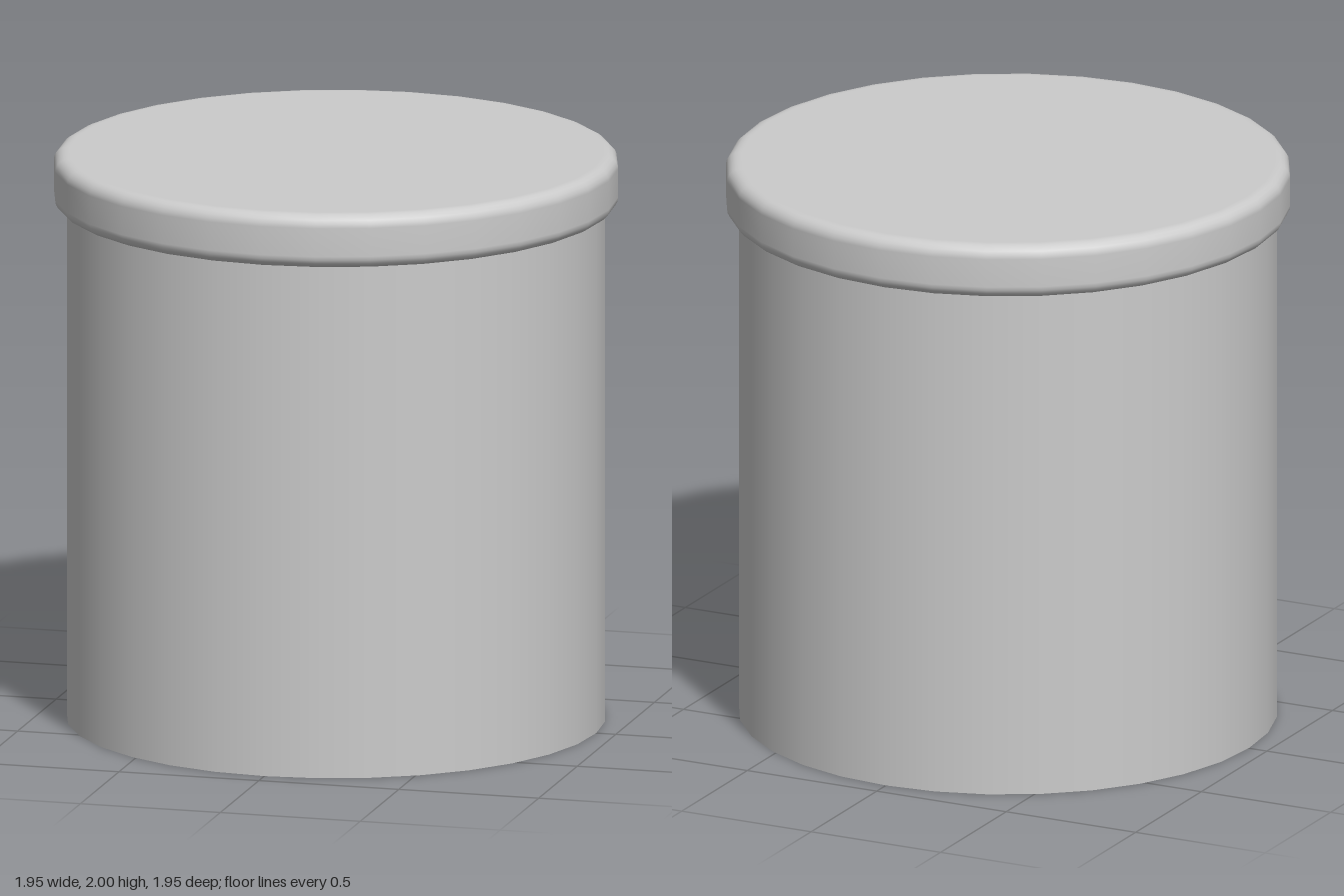
import * as THREE from 'three';

const SIDES = 32;
const BODY_RADIUS = 0.93, LID_RADIUS = 0.975;
const LID_BOTTOM = 1.81, TOP = 2, BEVEL = 0.045;

// Half outline of the lid, from the underside centre round to the top centre
function lidProfile() {
  const points = [new THREE.Vector2(0, LID_BOTTOM), new THREE.Vector2(LID_RADIUS - BEVEL - 0.01, LID_BOTTOM)];
  const roundEdge = (y, start) => {
    for (let i = 0; i <= 5; i++) {
      const a = start + (i / 5) * Math.PI / 2;
      points.push(new THREE.Vector2(LID_RADIUS - BEVEL + Math.cos(a) * BEVEL, y + Math.sin(a) * BEVEL));
    }
  };
  roundEdge(LID_BOTTOM + BEVEL, -Math.PI / 2);
  roundEdge(TOP - BEVEL, 0);
  // Extra loop keeps the top shading flat
  points.push(new THREE.Vector2(LID_RADIUS - BEVEL - 0.01, TOP), new THREE.Vector2(0, TOP));
  return points;
}

export function createModel() {
  const group = new THREE.Group();
  group.name = 'canister';

  // Thin wall, open at the bottom
  const body = new THREE.Mesh(
    new THREE.CylinderGeometry(BODY_RADIUS, BODY_RADIUS, LID_BOTTOM, SIDES, 1, true),
    new THREE.MeshStandardMaterial({ color: 0xcccccc, side: THREE.DoubleSide })
  );
  body.name = 'body';
  body.position.y = LID_BOTTOM / 2;

  // Overhanging lid with rounded edges
  const lid = new THREE.Mesh(
    new THREE.LatheGeometry(lidProfile(), SIDES),
    new THREE.MeshStandardMaterial({ color: 0xcccccc })
  );
  lid.name = 'lid';

  group.add(body, lid);
  return group;
}
